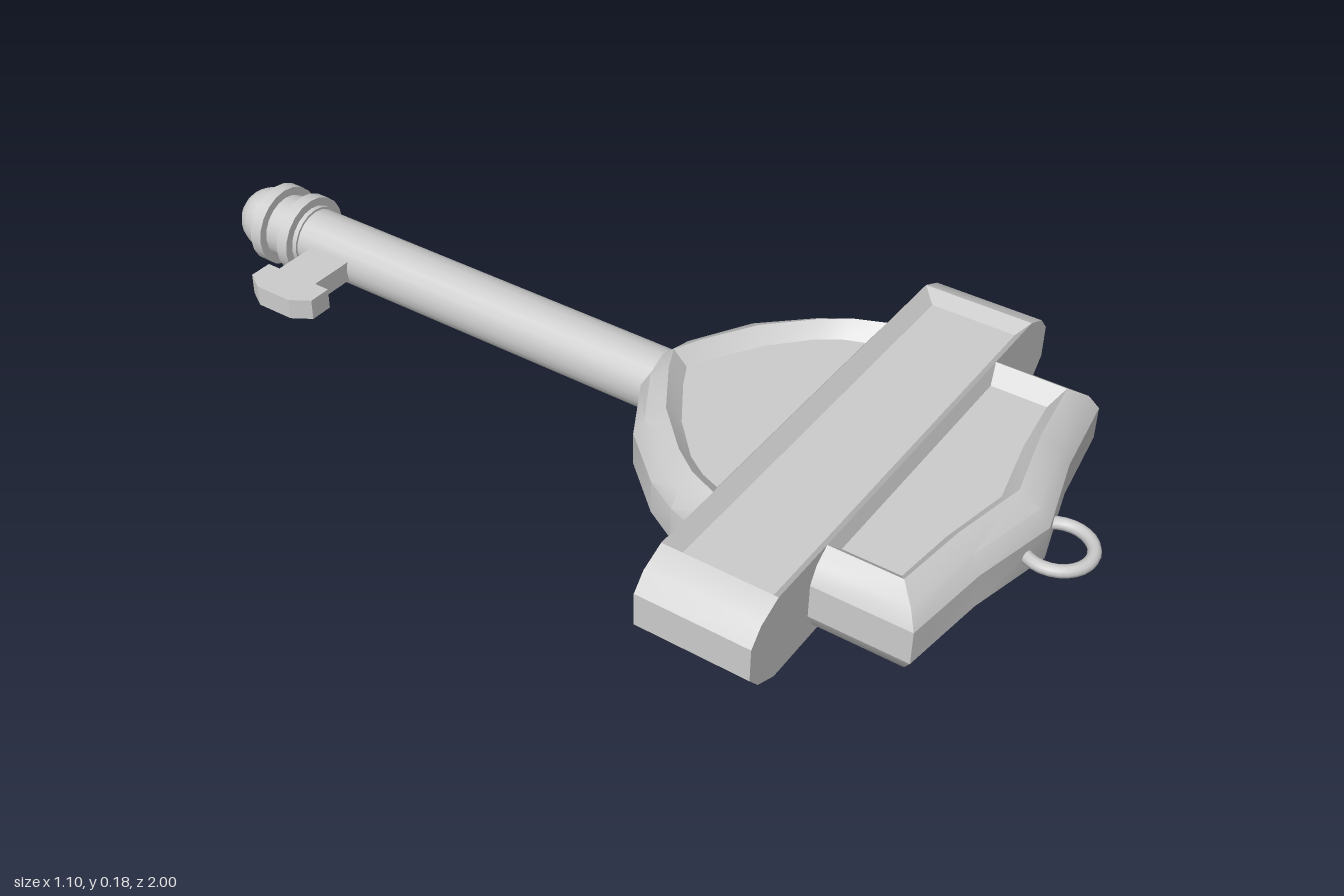
import * as THREE from 'three';
import { toCreasedNormals } from 'three/addons/utils/BufferGeometryUtils.js';

const H = 0.18, MID = 0.092, RECESS = 0.03;
const material = new THREE.MeshStandardMaterial({ color: 0xcccccc });

// Complete an outline from its +x half (x, z), running counterclockwise from above
const mirror = (half) => [
  ...half,
  ...half.filter(([x]) => x > 0).reverse().map(([x, z]) => [-x, z]),
];

// Rounded slab with a sunken panel on top and bottom
function slab(outerHalf, rimHalf, floorHalf) {
  const outer = mirror(outerHalf), rim = mirror(rimHalf), floor = mirror(floorHalf);
  const n = outer.length;
  const blend = (t) => outer.map(([x, z], i) => [x + (rim[i][0] - x) * t, z + (rim[i][1] - z) * t]);
  const upper = [[outer, 0.125], [blend(0.35), 0.157], [rim, H], [floor, H - RECESS]];
  const levels = [...upper.map(([loop, y]) => [loop, H - y]).reverse(), ...upper];
  const positions = [], index = [];
  levels.forEach(([loop, y]) => loop.forEach(([x, z]) => positions.push(x, y, z)));
  for (let l = 0; l < levels.length - 1; l++) {
    for (let i = 0; i < n; i++) {
      const a = l * n + i, b = l * n + (i + 1) % n;
      index.push(a, b, b + n, a, b + n, a + n);
    }
  }
  // Panel floors
  const top = (levels.length - 1) * n;
  const contour = floor.map(([x, z]) => new THREE.Vector2(x, -z));
  for (const [a, b, c] of THREE.ShapeUtils.triangulateShape(contour, [])) {
    index.push(top + a, top + b, top + c, c, b, a);
  }
  const geometry = new THREE.BufferGeometry();
  geometry.setAttribute('position', new THREE.Float32BufferAttribute(positions, 3));
  geometry.setIndex(index);
  return toCreasedNormals(geometry, 0.5);
}

// Cylinder lying along z
function rod(radius, z0, z1, sides = 20) {
  return new THREE.CylinderGeometry(radius, radius, Math.abs(z1 - z0), sides)
    .rotateX(Math.PI / 2).translate(0, MID, (z0 + z1) / 2);
}

export function createModel() {
  const group = new THREE.Group();
  const add = (name, geometry) => {
    const mesh = new THREE.Mesh(geometry, material);
    mesh.name = name;
    group.add(mesh);
  };

  // Head: domed shoulder, wide crossbar and pointed end block
  add('shoulder', slab(
    [[0.36, 0.41], [0.335, 0.34], [0.295, 0.27], [0.2, 0.165], [0.07, 0.092], [0, 0.08]],
    [[0.31, 0.41], [0.285, 0.35], [0.245, 0.295], [0.16, 0.21], [0.055, 0.145], [0, 0.12]],
    [[0.265, 0.39], [0.25, 0.35], [0.22, 0.305], [0.145, 0.235], [0.05, 0.175], [0, 0.15]],
  ));
  add('crossbar', slab(
    [[0.55, 0.64], [0.55, 0.41]],
    [[0.47, 0.64], [0.47, 0.41]],
    [[0.455, 0.615], [0.455, 0.435]],
  ));
  add('endBlock', slab(
    [[0, 0.905], [0.18, 0.86], [0.365, 0.835], [0.365, 0.64]],
    [[0, 0.84], [0.16, 0.805], [0.315, 0.785], [0.315, 0.64]],
    [[0, 0.81], [0.15, 0.78], [0.28, 0.765], [0.28, 0.65]],
  ));

  // Hanging loop
  add('hangingLoop', new THREE.TorusGeometry(0.0635, 0.0125, 10, 28)
    .rotateX(Math.PI / 2).translate(0, MID, 0.924));

  // Shaft with collar, rings and rounded tip
  add('shaft', rod(0.065, 0.11, -0.82));
  add('collar', rod(0.07, -0.8, -0.93));
  for (const z of [-0.825, -0.9]) add('shaftRing', rod(0.088, z - 0.014, z + 0.014));
  add('tip', new THREE.SphereGeometry(0.07, 20, 14).translate(0, MID, -0.93));

  // Side lug: a flat stem with a chamfered head
  const lug = new THREE.Shape([
    [-0.04, -0.76], [-0.16, -0.76], [-0.16, -0.79], [-0.21, -0.79], [-0.235, -0.75],
    [-0.235, -0.665], [-0.21, -0.625], [-0.16, -0.625], [-0.16, -0.66], [-0.04, -0.66],
  ].map(([x, z]) => new THREE.Vector2(x, -z)));
  add('sideLug', new THREE.ExtrudeGeometry(lug, { depth: 0.045, bevelEnabled: false })
    .rotateX(-Math.PI / 2).translate(0, MID - 0.0225, 0));

  return group;
}
